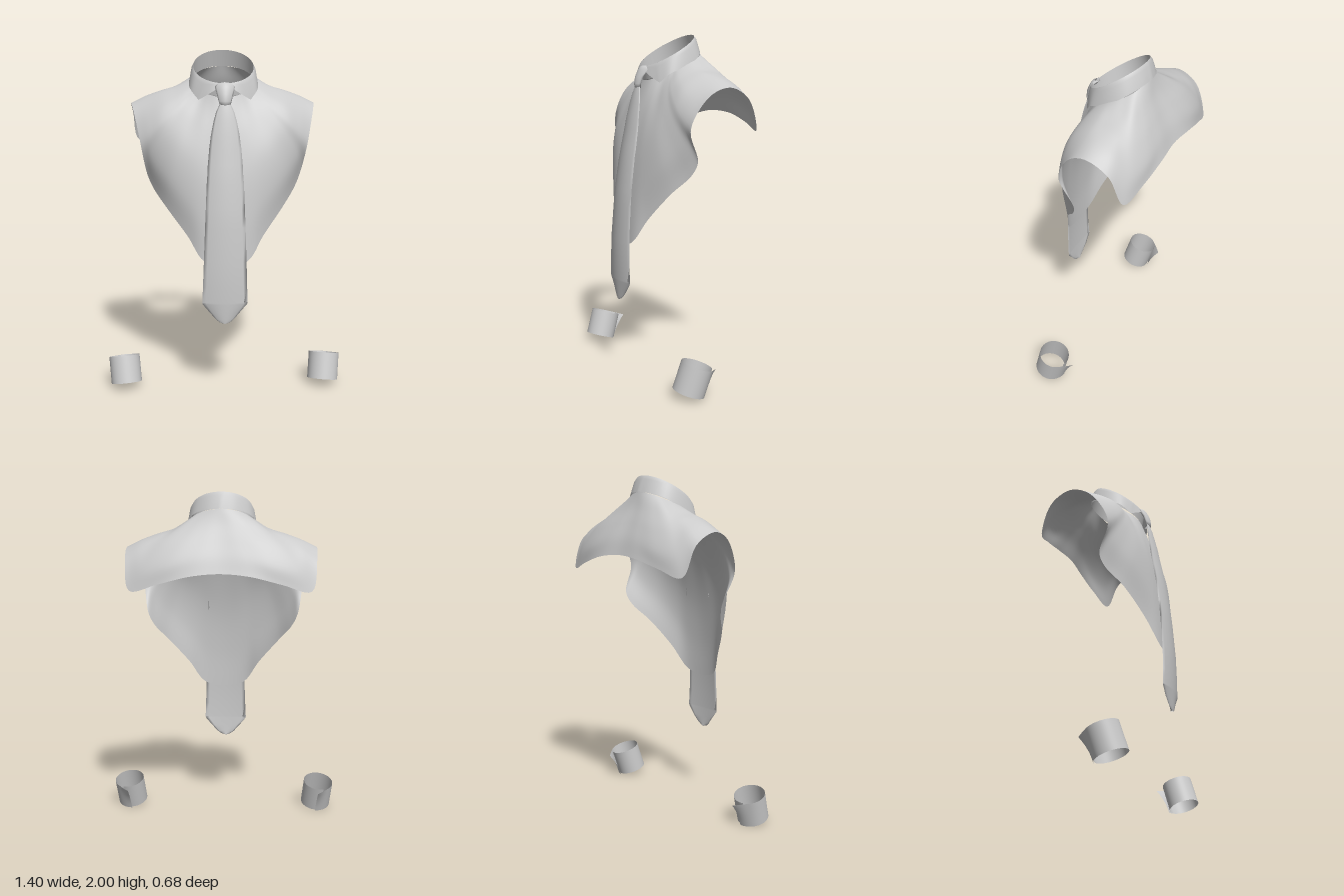
import * as THREE from 'three';

const V = (x, y, z) => new THREE.Vector3(x, y, z);
const material = new THREE.MeshStandardMaterial({ color: 0xcccccc, side: THREE.DoubleSide });

// Smooth surface through rows of points; wrap closes every row into a ring
function loft(name, rows, wrap = false) {
  const n = rows[0].length, index = [];
  for (let r = 0; r < rows.length - 1; r++) {
    for (let c = 0; c < (wrap ? n : n - 1); c++) {
      const d = (c + 1) % n, a = r * n + c, b = r * n + d;
      index.push(a, a + n, b, b, a + n, b + n);
    }
  }
  const geometry = new THREE.BufferGeometry().setFromPoints(rows.flat());
  geometry.setIndex(index);
  geometry.computeVertexNormals();
  const mesh = new THREE.Mesh(geometry, material);
  mesh.name = name;
  return mesh;
}

const curve = (points, closed = false) => new THREE.CatmullRomCurve3(points, closed);
const flip = (p) => V(-p.x, p.y, p.z);

// Half of the shirt as ribs running from the neck to the outer edge
const frontRibs = [
  [0, 1.73, .145, 0, 1.5, .222, 0, 1.25, .278, 0, 1, .303, 0, .77, .31],
  [.05, 1.735, .138, .07, 1.52, .213, .09, 1.28, .27, .11, 1.04, .293, .125, .8, .298],
  [.09, 1.745, .117, .13, 1.56, .195, .17, 1.36, .25, .2, 1.14, .266, .22, .94, .245],
  [.12, 1.755, .092, .19, 1.6, .167, .26, 1.43, .218, .315, 1.26, .213, .345, 1.1, .16],
  [.14, 1.765, .077, .23, 1.63, .15, .32, 1.49, .183, .39, 1.34, .155, .42, 1.2, .078],
  [.155, 1.775, .065, .25, 1.655, .135, .35, 1.53, .163, .425, 1.4, .13, .455, 1.28, .055],
  [.165, 1.785, .05, .26, 1.69, .115, .36, 1.6, .145, .43, 1.52, .14, .485, 1.45, .12],
  [.175, 1.8, .03, .27, 1.74, .07, .36, 1.69, .09, .44, 1.63, .09, .51, 1.57, .08],
  [.187, 1.825, -.02, .28, 1.785, -.02, .37, 1.755, -.02, .46, 1.71, -.015, .535, 1.66, 0],
];
const backRibs = [
  [.185, 1.845, -.07, .28, 1.79, -.08, .37, 1.762, -.09, .46, 1.73, -.1, .55, 1.687, -.1],
  [.165, 1.86, -.11, .27, 1.79, -.14, .37, 1.745, -.17, .46, 1.69, -.2, .545, 1.62, -.22],
  [.14, 1.875, -.14, .25, 1.79, -.19, .35, 1.7, -.24, .44, 1.58, -.28, .515, 1.45, -.29],
  [.1, 1.89, -.16, .17, 1.8, -.21, .24, 1.7, -.27, .3, 1.59, -.315, .35, 1.49, -.325],
  [.05, 1.9, -.175, .08, 1.81, -.215, .11, 1.72, -.265, .14, 1.63, -.31, .17, 1.535, -.34],
  [0, 1.905, -.18, 0, 1.82, -.21, 0, 1.73, -.255, 0, 1.64, -.3, 0, 1.55, -.333],
];

function shirtBody() {
  const half = [...frontRibs, ...backRibs].map((rib) =>
    curve([0, 3, 6, 9, 12].map((i) => V(rib[i], rib[i + 1], rib[i + 2]))));
  const rows = [];
  const along = 24, around = half.length * 2 - 2;
  for (let r = 0; r <= along; r++) {
    const side = half.map((c) => c.getPoint(r / along));
    const ring = curve([...side, ...side.slice(1, -1).reverse().map(flip)], true);
    rows.push(Array.from({ length: around * 6 }, (_, i) => ring.getPoint(i / (around * 6))));
  }
  return loft('shirtBody', rows, true);
}

// Folded collar: an inner stand and an outer fall with two pointed tips
const collarTop = (a) => V(.177 * Math.sin(a), 1.905 - .095 * Math.cos(a), .003 + .155 * Math.cos(a));
const collarBase = (a) => V(.18 * Math.sin(a), 1.82 - .085 * Math.cos(a), -.018 + .163 * Math.cos(a));

function collar() {
  const group = new THREE.Group();
  group.name = 'collar';
  const angles = Array.from({ length: 64 }, (_, i) => i / 64 * Math.PI * 2);
  group.add(loft('collarStand', [angles.map(collarTop), angles.map(collarBase)], true));

  const inner = curve([V(.012, 1.8, .172), V(.08, 1.757, .162), V(.15, 1.715, .132)]);
  const outer = curve([V(.15, 1.715, .132), V(.192, 1.768, .08), V(.203, 1.812, -.03),
    V(.165, 1.87, -.12), V(.085, 1.9, -.172), V(0, 1.908, -.19)]);
  const top = [], lower = [];
  for (let i = 0; i <= 36; i++) {
    const tip = i <= 10;
    top.push(collarTop(tip ? .05 + .6 * i / 10 : .65 + (Math.PI - .65) * (i - 10) / 26));
    lower.push(tip ? inner.getPoint(i / 10) : outer.getPoint((i - 10) / 26));
  }
  // Middle row sits slightly outward so the fold rolls over
  const middle = top.map((p, i) => {
    const m = p.clone().lerp(lower[i], .25);
    const k = 1 + .03 * Math.min(1, i / 10);
    return V(m.x * k, m.y + .004, m.z * k);
  });
  const whole = (row) => [...row, ...row.slice(0, -1).reverse().map(flip)];
  group.add(loft('collarFall', [top, middle, lower].map(whole)));
  return group;
}

// Lens-shaped sections given as [height, half width, front z]
function strip(name, sections, bow, thick) {
  const n = 12;
  const rows = sections.map(([y, w, z]) => {
    const ring = [];
    for (let i = 0; i < n * 2; i++) {
      const s = i <= n ? -1 + 2 * i / n : 3 - 2 * i / n;
      const back = i > n ? thick * (1 - s * s) : 0;
      const b = bow * Math.min(1, w / .1);
      ring.push(V(s * w - .006 * (1.8 - y), y, z - b * s * s - back));
    }
    return ring;
  });
  return loft(name, rows, true);
}

function tie() {
  const group = new THREE.Group();
  group.name = 'tie';
  group.add(strip('tieBlade', [
    [1.71, .03, .2], [1.69, .033, .207], [1.65, .052, .22], [1.6, .066, .232], [1.52, .082, .25],
    [1.45, .091, .262], [1.35, .1, .281], [1.25, .106, .298], [1.1, .112, .317], [1, .116, .326],
    [.8, .123, .339], [.65, .128, .341], [.56, .132, .339], [.55, .13, .339], [.5, .088, .336],
    [.46, .053, .333], [.443, .032, .331], [.435, .01, .33],
  ], .024, .016));
  group.add(strip('tieKnot', [
    [1.815, .012, .165], [1.808, .045, .178], [1.79, .058, .19], [1.75, .047, .208],
    [1.71, .037, .215], [1.692, .032, .214], [1.685, .012, .203],
  ], .05, .035));
  return group;
}

// Rolled cuff sheet, open at the back with a flap that flares away
function cuff(side) {
  const rows = [], steps = 60, height = .16;
  for (let r = 0; r <= 6; r++) {
    const v = r / 6, row = [];
    for (let i = 0; i <= steps; i++) {
      const a = -.05 + (Math.PI * 2 + .4) * i / steps;
      const flare = Math.max(0, 1 - (a + .05) / .8) ** 2 * (.006 + .036 * v * v);
      const radius = .093 - .004 * i / steps + flare;
      row.push(V(side * radius * Math.sin(a), (v - .5) * height, -radius * Math.cos(a)));
    }
    rows.push(row);
  }
  const mesh = loft(side > 0 ? 'leftCuff' : 'rightCuff', rows);
  mesh.position.set(side * .6, .107, .168);
  mesh.rotation.set(-.3, 0, -side * .09);
  return mesh;
}

export function createModel() {
  const model = new THREE.Group();
  model.name = 'shirtFrontWithTieAndCuffs';
  model.add(shirtBody(), collar(), tie(), cuff(1), cuff(-1));
  return model;
}
